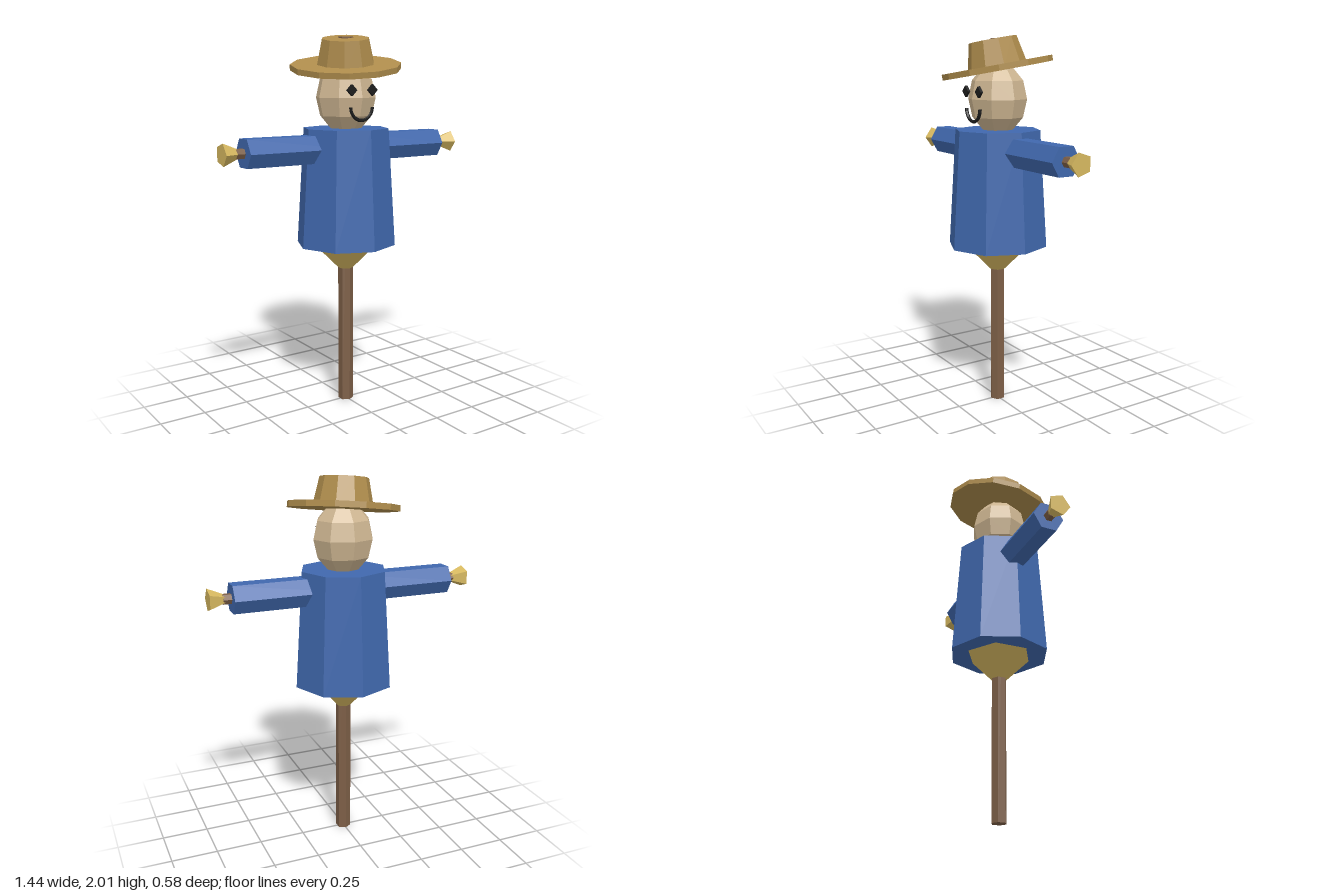
import * as THREE from 'three';

const mat = (color) => new THREE.MeshStandardMaterial({ color, flatShading: true });

export function createModel() {
  const root = new THREE.Group();
  const wood = mat(0x7d5f47), cloth = mat(0x4068ad), straw = mat(0xd6b860);
  const felt = mat(0xae8c4c), sack = mat(0xcdb591), ink = mat(0x1c1c1c);

  const add = (name, geometry, material, x = 0, y = 0, z = 0, parent = root) => {
    const mesh = new THREE.Mesh(geometry, material);
    mesh.name = name;
    mesh.position.set(x, y, z);
    parent.add(mesh);
    return mesh;
  };
  // Tapered prism between two heights
  const prism = (name, rTop, rBottom, y0, y1, sides, material, parent = root) =>
    add(name, new THREE.CylinderGeometry(rTop, rBottom, y1 - y0, sides), material, 0, (y0 + y1) / 2, 0, parent);

  // Post, coat and the straw spilling out below it
  prism('post', 0.041, 0.041, 0, 1.99, 6, wood);
  prism('coat', 0.23, 0.27, 0.895, 1.52, 8, cloth);
  prism('strawSkirt', 0.178, 0.042, 0.76, 0.896, 6, straw);

  // Crossbar running through both sleeves
  const armY = 1.417;
  add('crossbar', new THREE.CylinderGeometry(0.028, 0.028, 1.3, 6), wood, 0, armY).rotation.z = Math.PI / 2;
  for (const [side, s] of [['left', 1], ['right', -1]]) {
    const arm = new THREE.Group();
    arm.name = side + 'Arm';
    arm.position.y = armY;
    arm.rotation.z = -s * Math.PI / 2;
    root.add(arm);
    prism(side + 'Sleeve', 0.083, 0.083, 0.05, 0.605, 6, cloth, arm);
    prism(side + 'StrawHand', 0.06, 0.02, 0.628, 0.722, 5, straw, arm);
  }

  // Sack head with eyes and a curved mouth
  const head = add('head', new THREE.SphereGeometry(1, 8, 6), sack, 0, 1.68, 0);
  head.scale.set(0.164, 0.19, 0.155);
  for (const s of [1, -1]) {
    const eye = add(s > 0 ? 'leftEye' : 'rightEye', new THREE.BoxGeometry(0.042, 0.042, 0.014), ink, s * 0.064, 1.72, 0.151);
    eye.rotation.z = Math.PI / 4;
  }
  const mouth = add('mouth', new THREE.TorusGeometry(0.068, 0.009, 6, 12, Math.PI), ink, 0, 1.634, 0.147);
  mouth.rotation.z = Math.PI;

  // Tilted hat
  const hat = new THREE.Group();
  hat.name = 'hat';
  hat.position.y = 1.84;
  hat.rotation.set(0.145, 0, 0.105);
  root.add(hat);
  prism('hatBrim', 0.292, 0.292, -0.015, 0.015, 12, felt, hat);
  prism('hatCrown', 0.126, 0.157, 0, 0.145, 10, felt, hat);

  return root;
}
